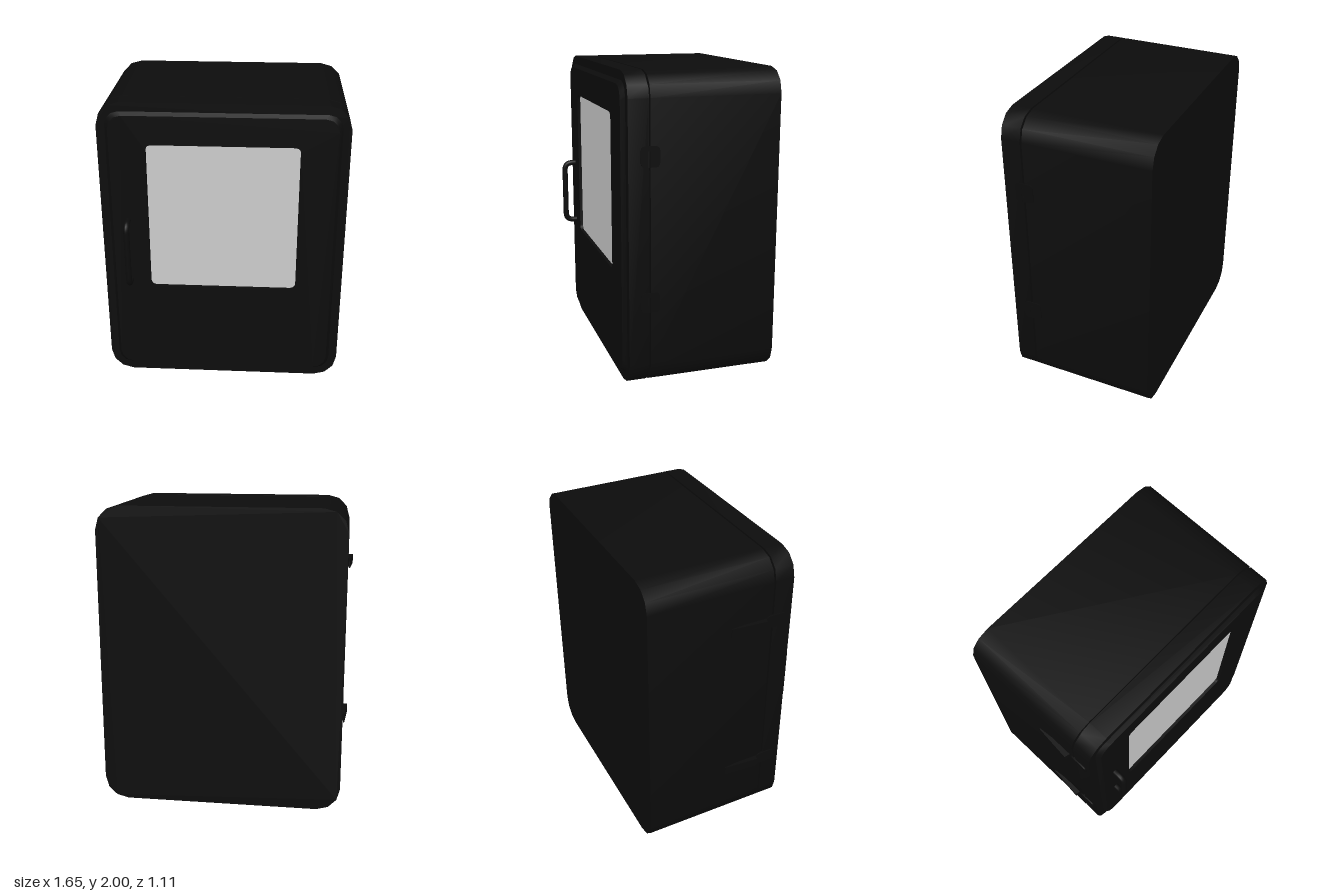
import * as THREE from 'three';
import { toCreasedNormals } from 'three/addons/utils/BufferGeometryUtils.js';

const black = new THREE.MeshStandardMaterial({ color: 0x0c0c0c });
const grey = new THREE.MeshStandardMaterial({ color: 0xcccccc });
const CX = 0.01; // middle of the case, offset by the side fittings

// Rounded rectangle centred on (x, y), traced on a Shape or a Path
function roundedRect(path, x, y, w, h, r) {
  const k = r * 0.448, l = x - w / 2, R = x + w / 2, b = y - h / 2, t = y + h / 2;
  path.moveTo(l + r, b);
  path.lineTo(R - r, b);
  path.bezierCurveTo(R - k, b, R, b + k, R, b + r);
  path.lineTo(R, t - r);
  path.bezierCurveTo(R, t - k, R - k, t, R - r, t);
  path.lineTo(l + r, t);
  path.bezierCurveTo(l + k, t, l, t - k, l, t - r);
  path.lineTo(l, b + r);
  path.bezierCurveTo(l, b + k, l + k, b, l + r, b);
  return path;
}

function extrude(shape, depth) {
  return new THREE.ExtrudeGeometry(shape, { depth, bevelEnabled: false, curveSegments: 3 });
}

function part(parent, name, geometry, material = black) {
  const mesh = new THREE.Mesh(toCreasedNormals(geometry, 0.6), material);
  mesh.name = name;
  parent.add(mesh);
  return mesh;
}

// Rounded slab from z0 to z1
function slab(parent, name, x, y, w, h, r, z0, z1, material) {
  const geometry = extrude(roundedRect(new THREE.Shape(), x, y, w, h, r), z1 - z0);
  return part(parent, name, geometry.translate(0, 0, z0), material);
}

// Raised door panel: window opening, outer edge tapered towards the front
function panelGeometry() {
  const shape = roundedRect(new THREE.Shape(), 0, 0, 1.49, 1.88, 0.09);
  shape.holes.push(roundedRect(new THREE.Path(), 0, 0.22, 0.98, 1.02, 0.035));
  const geometry = extrude(shape, 0.027);
  const p = geometry.attributes.position;
  for (let i = 0; i < p.count; i++) {
    const x = p.getX(i), y = p.getY(i);
    if (p.getZ(i) > 0.01 && (Math.abs(x) > 0.6 || Math.abs(y) > 0.85)) {
      p.setXY(i, x * 0.972, y * 0.979);
    }
  }
  return geometry.translate(CX, 1, 0.428);
}

function hinge(y) {
  const group = new THREE.Group();
  group.name = 'hinge';
  const leaf = slab(group, 'hingeLeaf', 0, 0, 0.12, 0.13, 0.025, 0, 0.008);
  leaf.rotation.y = Math.PI / 2;
  leaf.position.set(0.808, 0, 0.29);
  const knuckle = part(group, 'hingeKnuckle', new THREE.CylinderGeometry(0.012, 0.012, 0.1, 12));
  knuckle.position.set(0.809, -0.015, 0.3);
  group.position.y = y;
  return group;
}

function latch(y) {
  const group = new THREE.Group();
  group.name = 'latch';
  const base = slab(group, 'latchBase', 0, 0, 0.14, 0.085, 0.025, 0, 0.014);
  base.rotation.y = -Math.PI / 2;
  base.position.set(-0.784, 0, 0.32);
  // Lever profile in (x, -z), extruded upwards
  const profile = new THREE.Shape([
    [-0.805, 0], [-0.825, -0.24], [-0.786, -0.25], [-0.786, -0.14], [-0.799, 0],
  ].map(([x, z]) => new THREE.Vector2(x, z)));
  const lever = part(group, 'latchLever', extrude(profile, 0.06).rotateX(-Math.PI / 2));
  lever.position.y = -0.03;
  group.position.y = y;
  return group;
}

// Grab handle with rounded bends
function handleGeometry() {
  const x = -0.615, z = 0.535, r = 0.055, y0 = 0.755, y1 = 1.2;
  const v = (y, depth) => new THREE.Vector3(x, y, depth);
  const path = new THREE.CurvePath();
  path.add(new THREE.LineCurve3(v(y0, 0.44), v(y0, z - r)));
  path.add(new THREE.QuadraticBezierCurve3(v(y0, z - r), v(y0, z), v(y0 + r, z)));
  path.add(new THREE.LineCurve3(v(y0 + r, z), v(y1 - r, z)));
  path.add(new THREE.QuadraticBezierCurve3(v(y1 - r, z), v(y1, z), v(y1, z - r)));
  path.add(new THREE.LineCurve3(v(y1, z - r), v(y1, 0.44)));
  return new THREE.TubeGeometry(path, 60, 0.02, 12);
}

export function createModel() {
  const model = new THREE.Group();
  model.name = 'cabinet';

  slab(model, 'body', CX, 1, 1.6, 2, 0.155, -0.555, 0.288);
  slab(model, 'seal', CX, 1, 1.54, 1.94, 0.13, 0.28, 0.31);
  slab(model, 'door', CX, 1, 1.6, 2, 0.155, 0.3, 0.428);
  part(model, 'doorPanel', panelGeometry());
  slab(model, 'window', CX, 1.22, 0.978, 1.018, 0.034, 0.42, 0.434, grey);
  part(model, 'handle', handleGeometry());

  for (const y of [0.57, 1.495]) model.add(hinge(y));
  for (const y of [0.448, 1.572]) model.add(latch(y));
  return model;
}
